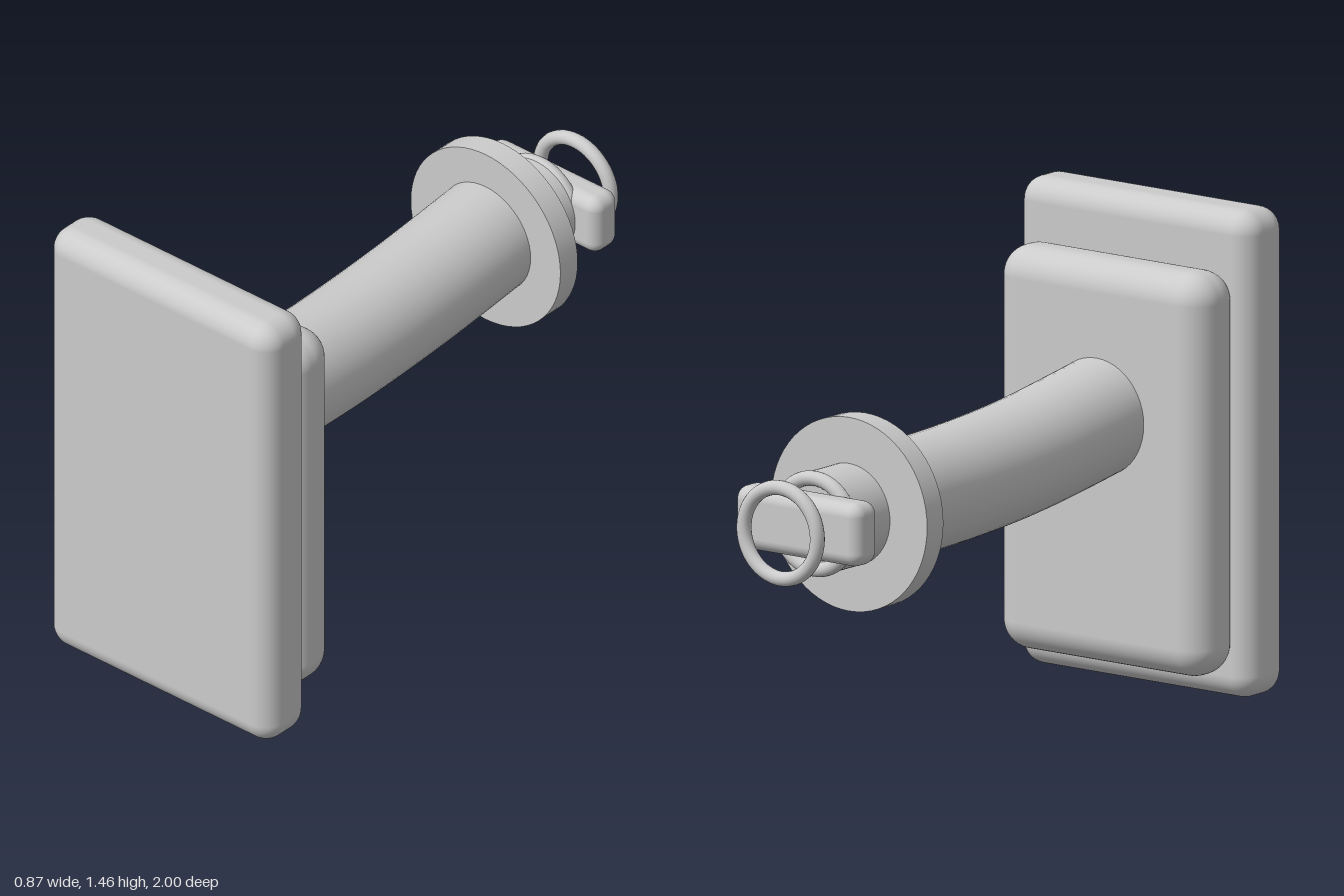
import * as THREE from 'three';
import { RoundedBoxGeometry } from 'three/addons/geometries/RoundedBoxGeometry.js';

export function createModel() {
  const model = new THREE.Group();
  const material = new THREE.MeshStandardMaterial({ color: 0xcccccc });
  const AX = -0.1, AY = 0.78; // axis shared by the end fittings

  const add = (name, geometry, x, y, z) => {
    const mesh = new THREE.Mesh(geometry, material);
    mesh.name = name;
    mesh.position.set(x, y, z);
    model.add(mesh);
    return mesh;
  };
  const roundedBox = (name, w, h, d, r, x, y, z) =>
    add(name, new RoundedBoxGeometry(w, h, d, 6, r), x, y, z);
  const disc = (name, r, z0, z1) =>
    add(name, new THREE.CylinderGeometry(r, r, z1 - z0, 64).rotateX(Math.PI / 2), AX, AY, (z0 + z1) / 2);
  const ring = (name, z) =>
    add(name, new THREE.TorusGeometry(0.136, 0.022, 16, 64), AX, AY, z);

  // Front panel and its backing
  roundedBox('frontPanel', 0.87, 1.46, 0.19, 0.07, 0, 0.73, 0.905);
  roundedBox('backHousing', 0.775, 1.21, 0.2, 0.09, 0, 0.685, 0.74);

  // Gently curved arm
  const path = new THREE.CatmullRomCurve3([
    new THREE.Vector3(0.005, 0.845, 0.76),
    new THREE.Vector3(-0.005, 0.827, 0.62),
    new THREE.Vector3(-0.04, 0.787, 0.2),
    new THREE.Vector3(-0.071, 0.775, -0.2),
    new THREE.Vector3(-0.103, 0.784, -0.62),
  ]);
  add('arm', new THREE.TubeGeometry(path, 40, 0.174, 48), 0, 0, 0);

  // Wall flange, barrel, cross bar and rings
  disc('flange', 0.29, -0.655, -0.578);
  disc('barrel', 0.152, -0.815, -0.62);
  ring('barrelRing', -0.817);
  roundedBox('crossBar', 0.465, 0.19, 0.11, 0.04, AX, 0.785, -0.857);
  ring('endRing', -0.978);

  return model;
}
